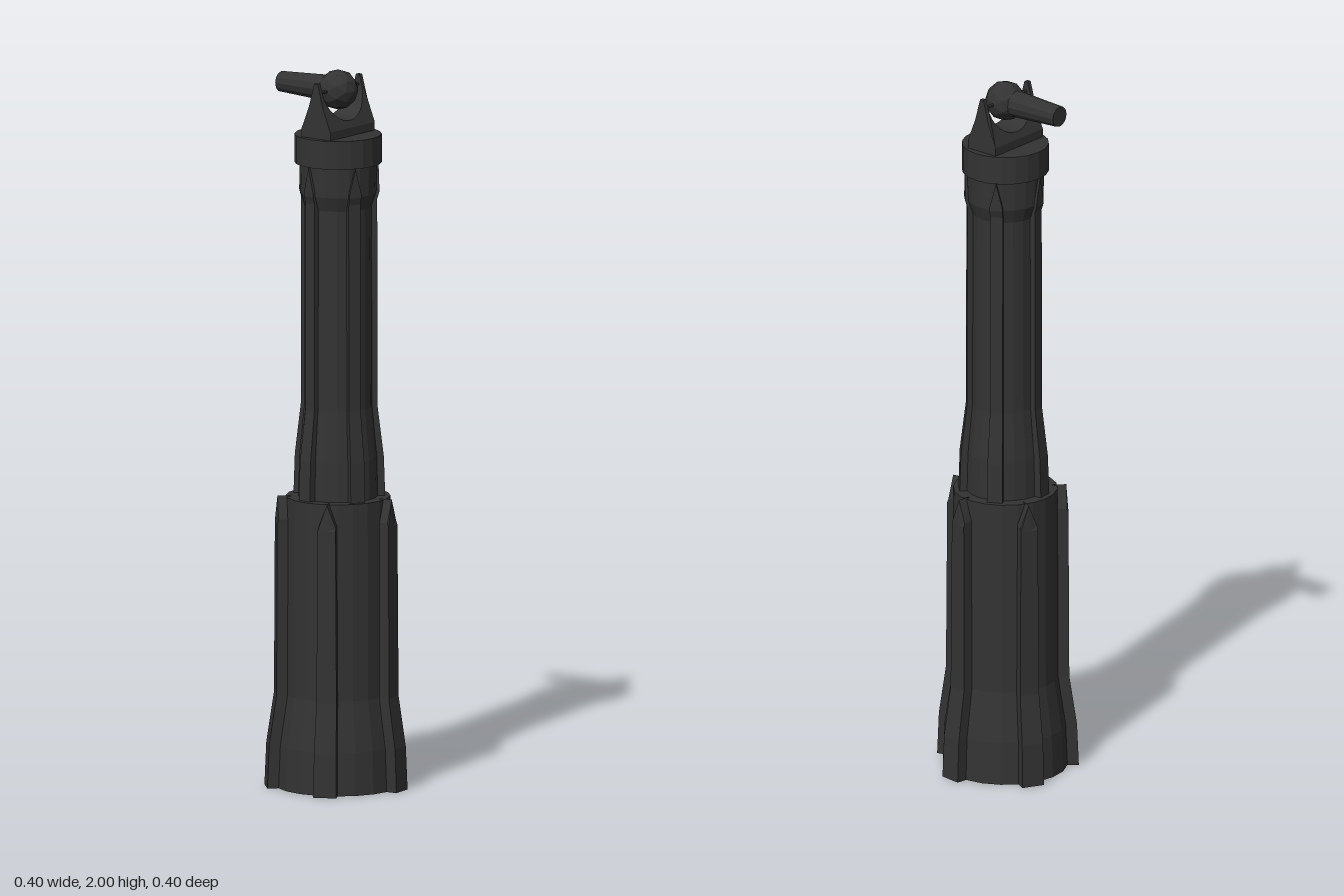
import * as THREE from 'three';

const material = new THREE.MeshStandardMaterial({ color: 0x333333, flatShading: true });

function part(parent, name, geometry) {
  const mesh = new THREE.Mesh(geometry, material);
  mesh.name = name;
  parent.add(mesh);
  return mesh;
}

// Faceted turned solid from [radius, y] pairs, bottom to top
function turned(points) {
  return new THREE.LatheGeometry(points.map(([r, y]) => new THREE.Vector2(r, y)), 20);
}

// Rib along +x with a gabled top; levels are [y, outer radius, width]
function ribGeometry(levels, inner, shoulderY) {
  const last = levels.length - 1;
  const geo = new THREE.BoxGeometry(1, 1, 1, 1, last, 2);
  const p = geo.attributes.position;
  for (let i = 0; i < p.count; i++) {
    const row = Math.round((p.getY(i) + 0.5) * last);
    const [y, outer, width] = levels[row];
    const side = p.getZ(i);
    const isTopCorner = row === last && Math.abs(side) > 0.1;
    const outside = p.getX(i) > 0;
    p.setXYZ(i, outside ? outer : inner, isTopCorner ? shoulderY : y, side * width * (outside ? 1 : 0.9));
  }
  geo.computeVertexNormals();
  return geo;
}

function ribs(parent, name, geometry, startDegrees) {
  for (let i = 0; i < 5; i++) {
    const rib = part(parent, name, geometry);
    rib.rotation.y = -THREE.MathUtils.degToRad(startDegrees + i * 72);
  }
}

// U-shaped cradle that narrows toward its tips
function cradleGeometry() {
  const halfWidth = [[1.815, 0.05], [1.845, 0.05], [1.91, 0.024], [1.975, 0.006]];
  const shape = new THREE.Shape();
  shape.moveTo(-0.1, 1.815);
  shape.lineTo(0.1, 1.815);
  for (const [y] of halfWidth.slice(1)) shape.lineTo(0.1, y);
  shape.lineTo(0.088, 1.975);
  shape.lineTo(0.088, 1.952);
  shape.absarc(0, 1.952, 0.088, 0, -Math.PI, true);
  shape.lineTo(-0.088, 1.975);
  for (const [y] of halfWidth.slice(1).reverse()) shape.lineTo(-0.1, y);
  const geo = new THREE.ExtrudeGeometry(shape, { depth: 1, bevelEnabled: false, curveSegments: 8 });
  geo.translate(0, 0, -0.5);
  geo.rotateY(Math.PI / 2);
  const p = geo.attributes.position;
  for (let i = 0; i < p.count; i++) {
    const y = p.getY(i);
    let k = 0;
    while (k < halfWidth.length - 2 && y > halfWidth[k + 1][0]) k++;
    const [y0, w0] = halfWidth[k], [y1, w1] = halfWidth[k + 1];
    const w = THREE.MathUtils.mapLinear(y, y0, y1, w0, w1);
    p.setX(i, Math.sign(p.getX(i)) * w);
  }
  geo.computeVertexNormals();
  return geo;
}

export function createModel() {
  const model = new THREE.Group();
  model.name = 'turretTower';
  const tower = new THREE.Group();
  tower.name = 'tower';
  tower.position.set(-0.004, 0, 0.003);
  model.add(tower);

  // Lower column with flared foot
  part(tower, 'lowerColumn', turned([
    [0, 0], [0.172, 0], [0.167, 0.12], [0.146, 0.26], [0.144, 0.81], [0, 0.81],
  ]));
  ribs(tower, 'lowerRib', ribGeometry([
    [0, 0.2, 0.064], [0.12, 0.195, 0.062], [0.26, 0.174, 0.056], [0.74, 0.172, 0.05], [0.813, 0.168, 0.05],
  ], 0.13, 0.75), -9);

  // Upper column with flared foot and collar
  part(tower, 'upperColumn', turned([
    [0, 0.8], [0.11, 0.8], [0.107, 0.92], [0.094, 1.06], [0.092, 1.62], [0.105, 1.66], [0.107, 1.75], [0, 1.75],
  ]));
  ribs(tower, 'upperRib', ribGeometry([
    [0.8, 0.128, 0.044], [0.92, 0.124, 0.042], [1.06, 0.107, 0.036], [1.64, 0.106, 0.036], [1.66, 0.112, 0.036], [1.74, 0.112, 0.036],
  ], 0.08, 1.67), 27);

  // Cap disc
  part(tower, 'cap', turned([[0, 1.743], [0.12, 1.743], [0.12, 1.822], [0, 1.822]]));

  // Cradle, axle, ball and barrel
  part(tower, 'cradle', cradleGeometry());
  const axle = part(tower, 'axle', new THREE.CylinderGeometry(0.005, 0.005, 0.19, 6));
  axle.rotation.x = Math.PI / 2;
  axle.position.y = 1.947;
  const ball = part(tower, 'ball', new THREE.IcosahedronGeometry(0.056, 1));
  ball.position.y = 1.945;
  const barrel = part(tower, 'barrel', new THREE.CylinderGeometry(0.029, 0.038, 0.176, 12));
  barrel.rotation.z = Math.PI / 2;
  barrel.position.set(-0.108, 1.945, 0);

  return model;
}
